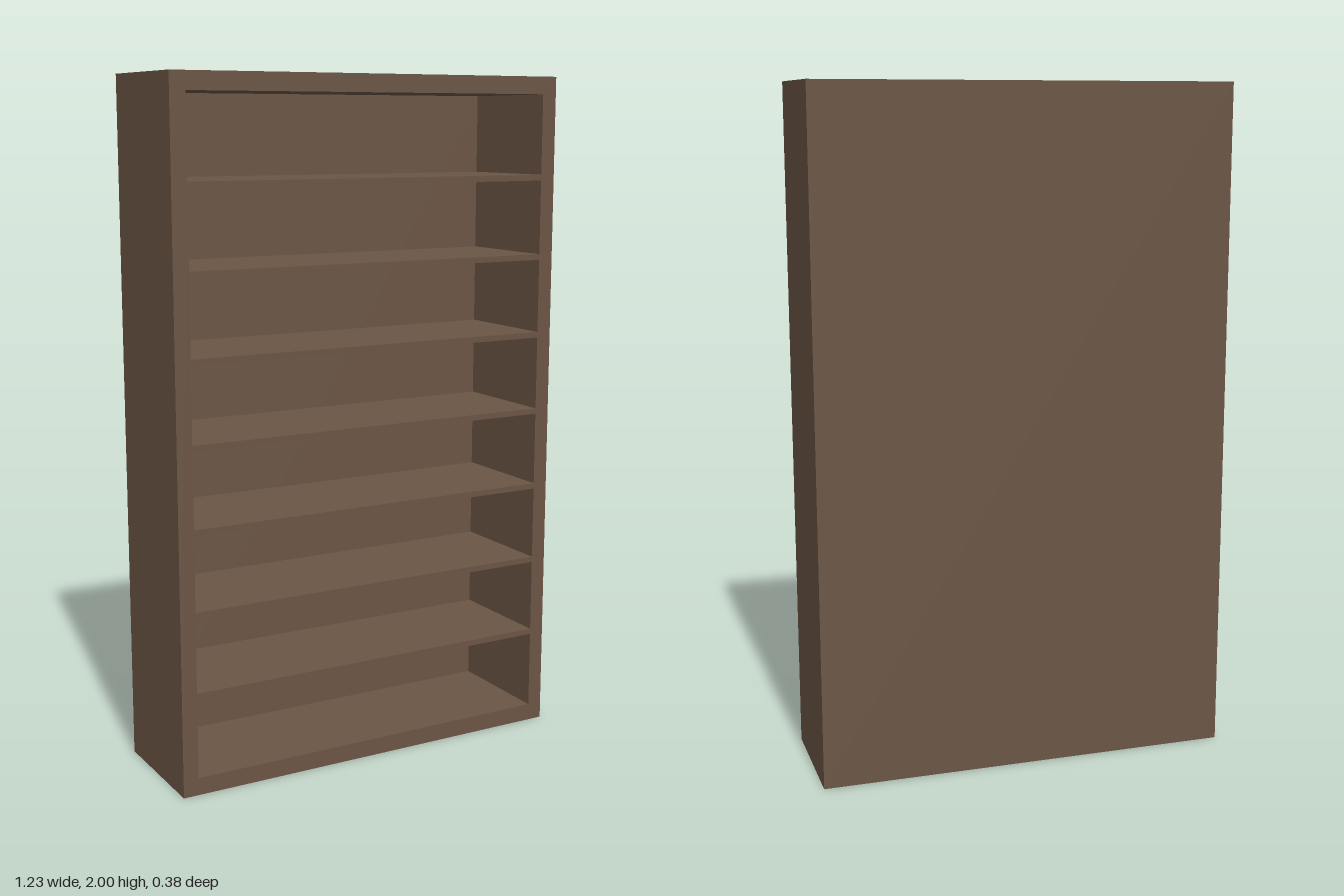
import * as THREE from 'three';

const HALF_W = 0.617, HEIGHT = 2, HALF_D = 0.188; // outer size
const INNER_W = 0.571, BOTTOM = 0.051, TOP = 1.949; // opening of the case
const BACK = 0.034; // back panel thickness
const SHELVES = 7, PITCH = 0.2355, SHELF = 0.017;

// Rectangle outline, used for the case and for each compartment
function rectangle(Type, halfWidth, y0, y1) {
  return new Type([
    new THREE.Vector2(-halfWidth, y0),
    new THREE.Vector2(halfWidth, y0),
    new THREE.Vector2(halfWidth, y1),
    new THREE.Vector2(-halfWidth, y1),
  ]);
}

export function createModel() {
  const group = new THREE.Group();
  group.name = 'bookcase';
  const wood = new THREE.MeshStandardMaterial({ color: 0x6b5545 });

  // Case and shelves: one flush front with a row of open compartments
  const outline = rectangle(THREE.Shape, HALF_W, 0, HEIGHT);
  let floor = BOTTOM;
  for (let i = 0; i <= SHELVES; i++) {
    const shelfY = HEIGHT / 2 + (i - (SHELVES - 1) / 2) * PITCH;
    const ceiling = i < SHELVES ? shelfY - SHELF / 2 : TOP;
    outline.holes.push(rectangle(THREE.Path, INNER_W, floor, ceiling));
    floor = shelfY + SHELF / 2;
  }
  const caseGeometry = new THREE.ExtrudeGeometry(outline, {
    depth: 2 * HALF_D - BACK,
    bevelEnabled: false,
  });
  const shelfCase = new THREE.Mesh(caseGeometry, wood);
  shelfCase.name = 'caseWithShelves';
  shelfCase.position.z = -HALF_D + BACK;
  group.add(shelfCase);

  // Back panel closing all compartments
  const back = new THREE.Mesh(new THREE.BoxGeometry(2 * HALF_W, HEIGHT, BACK), wood);
  back.name = 'backPanel';
  back.position.set(0, HEIGHT / 2, -HALF_D + BACK / 2);
  group.add(back);

  return group;
}
